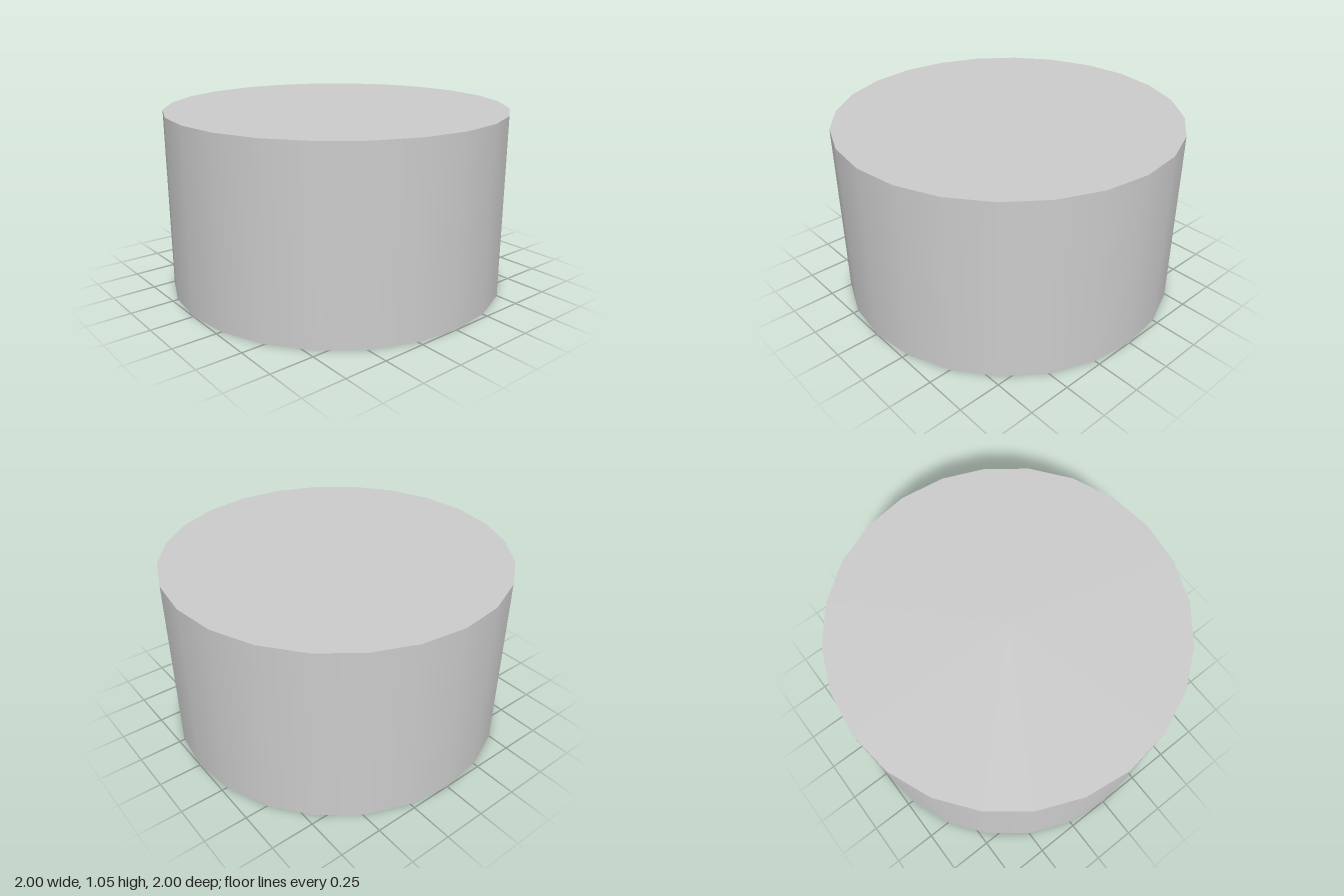
import * as THREE from 'three';

const SIDES = 24, RADIUS = 1, HEIGHT = 1.055, HOLE = 0.768, CEILING = 0.623;

export function createModel() {
  const group = new THREE.Group();
  group.name = 'cap';
  const material = new THREE.MeshStandardMaterial({ color: 0xcccccc, side: THREE.DoubleSide });

  const add = (name, geometry, y) => {
    const mesh = new THREE.Mesh(geometry, material);
    mesh.name = name;
    mesh.position.y = y;
    group.add(mesh);
  };
  const disc = () => new THREE.CircleGeometry(RADIUS, SIDES);

  // thin round wall, also seen from inside through the opening
  add('sideWall', new THREE.CylinderGeometry(RADIUS, RADIUS, HEIGHT, SIDES, 1, true), HEIGHT / 2);

  // closed top
  add('topFace', disc().rotateX(-Math.PI / 2), HEIGHT);

  // ceiling of the hollow, facing down
  add('hollowCeiling', disc().rotateX(Math.PI / 2), CEILING);

  // flat bottom rim around the opening
  add('bottomRim', new THREE.RingGeometry(HOLE, RADIUS, SIDES).rotateX(Math.PI / 2), 0);

  return group;
}
